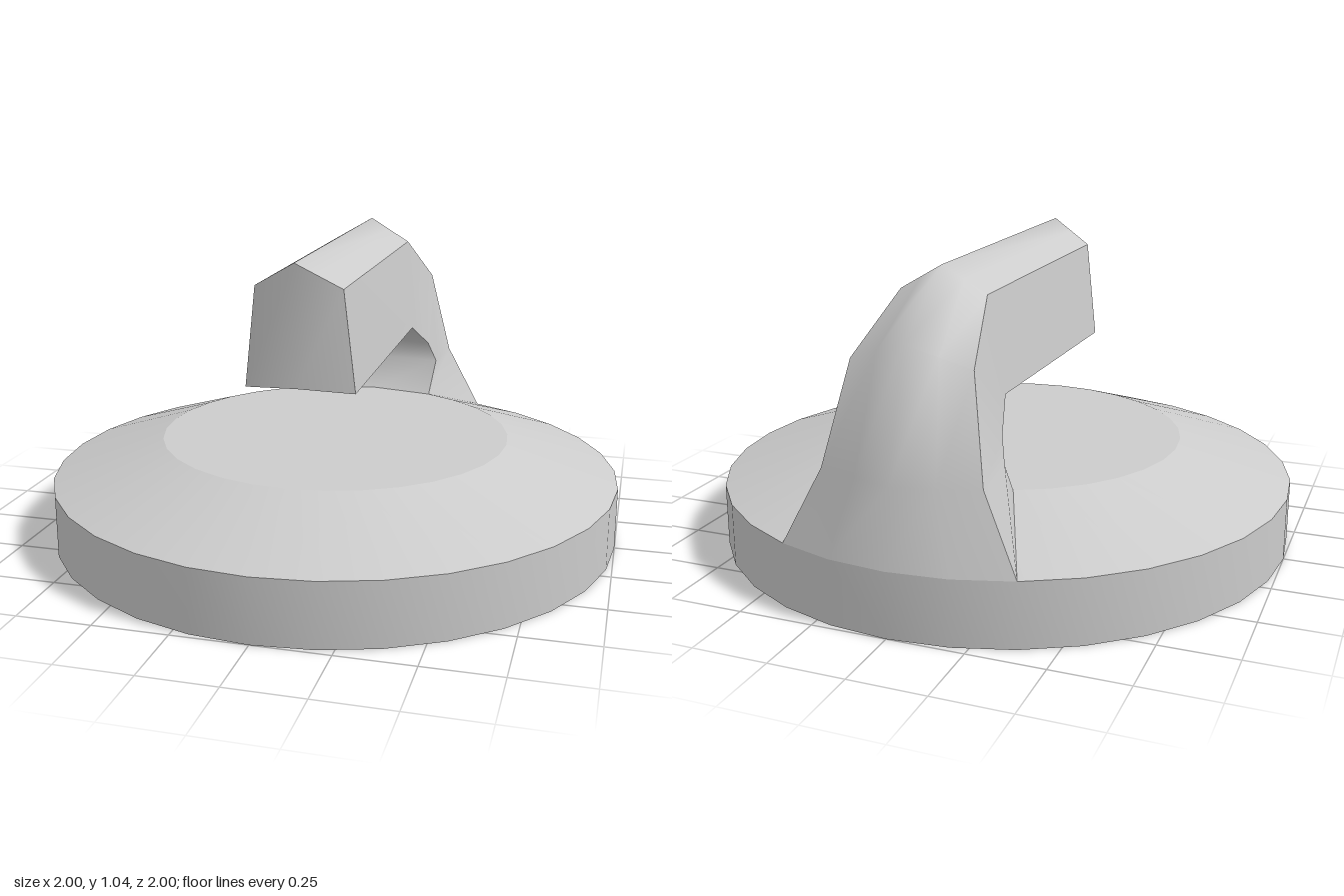
import * as THREE from 'three';
import { toCreasedNormals } from 'three/addons/utils/BufferGeometryUtils.js';

const material = new THREE.MeshStandardMaterial({ color: 0xcccccc, side: THREE.DoubleSide });

// Smooth surface through rows of equally many points
function surface(name, rows) {
  const n = rows[0].length, index = [];
  for (let i = 0; i < rows.length - 1; i++) {
    for (let j = 0; j < n - 1; j++) {
      const a = i * n + j, b = a + n;
      index.push(a, b, a + 1, b, b + 1, a + 1);
    }
  }
  const geometry = new THREE.BufferGeometry();
  geometry.setAttribute('position', new THREE.Float32BufferAttribute(rows.flat(2), 3));
  geometry.setIndex(index);
  geometry.computeVertexNormals();
  const mesh = new THREE.Mesh(geometry, material);
  mesh.name = name;
  return mesh;
}

const mirror = ([x, y, z]) => [-x, y, z];

export function createModel() {
  const model = new THREE.Group();
  model.name = 'lid';

  // Hollow lid: straight rim, sloping shoulder, flat top
  const profile = [[1, 0], [1, 0.215], [0.614, 0.345], [0, 0.345]].map(p => new THREE.Vector2(...p));
  const lid = new THREE.Mesh(toCreasedNormals(new THREE.LatheGeometry(profile, 32), 0.3), material);
  lid.name = 'lidShell';
  model.add(lid);

  // Handle lines from the front tip, over the bend, down to the rim
  const ridge = [[0, 1.04, 0.505], [0, 1.04, -0.56], [0, 0.855, -0.84], [0, 0.46, -0.96], [0, 0.215, -1]];
  const shoulder = [[0.145, 0.955, 0.455], [0.145, 0.955, -0.55], [0.2, 0.785, -0.79],
    [0.263, 0.46, -0.88], [0.383, 0.215, -0.924]];
  const inner = [[0.183, 0.62, 0.45], [0.18, 0.63, -0.49], [0.22, 0.54, -0.62],
    [0.245, 0.46, -0.665], [0.235, 0.345, -0.567]];
  const innerMid = [[0, 0.635, 0.49], [0, 0.637, -0.5], [0, 0.545, -0.64], [0, 0.46, -0.69], [0, 0.345, -0.614]];

  // Points between shoulder and ridge; the last one lies on the round rim
  const between = shoulder.map((s, i) => s.map((v, k) => (v + ridge[i][k]) / 2));
  between[4] = [0.195, 0.215, -0.981];

  const handle = new THREE.Group();
  handle.name = 'handle';
  handle.add(
    surface('handleBack', ridge.map((r, i) =>
      [shoulder[i], between[i], r, mirror(between[i]), mirror(shoulder[i])])),
    surface('handleLeftSide', inner.map((p, i) => [p, shoulder[i]])),
    surface('handleRightSide', inner.map((p, i) => [mirror(shoulder[i]), mirror(p)])),
    surface('handleInside', inner.map((p, i) => [mirror(p), innerMid[i], p])),
    surface('handleTip', [
      [inner[0], innerMid[0], mirror(inner[0])],
      [shoulder[0], ridge[0], mirror(shoulder[0])],
    ]),
  );
  model.add(handle);
  return model;
}
